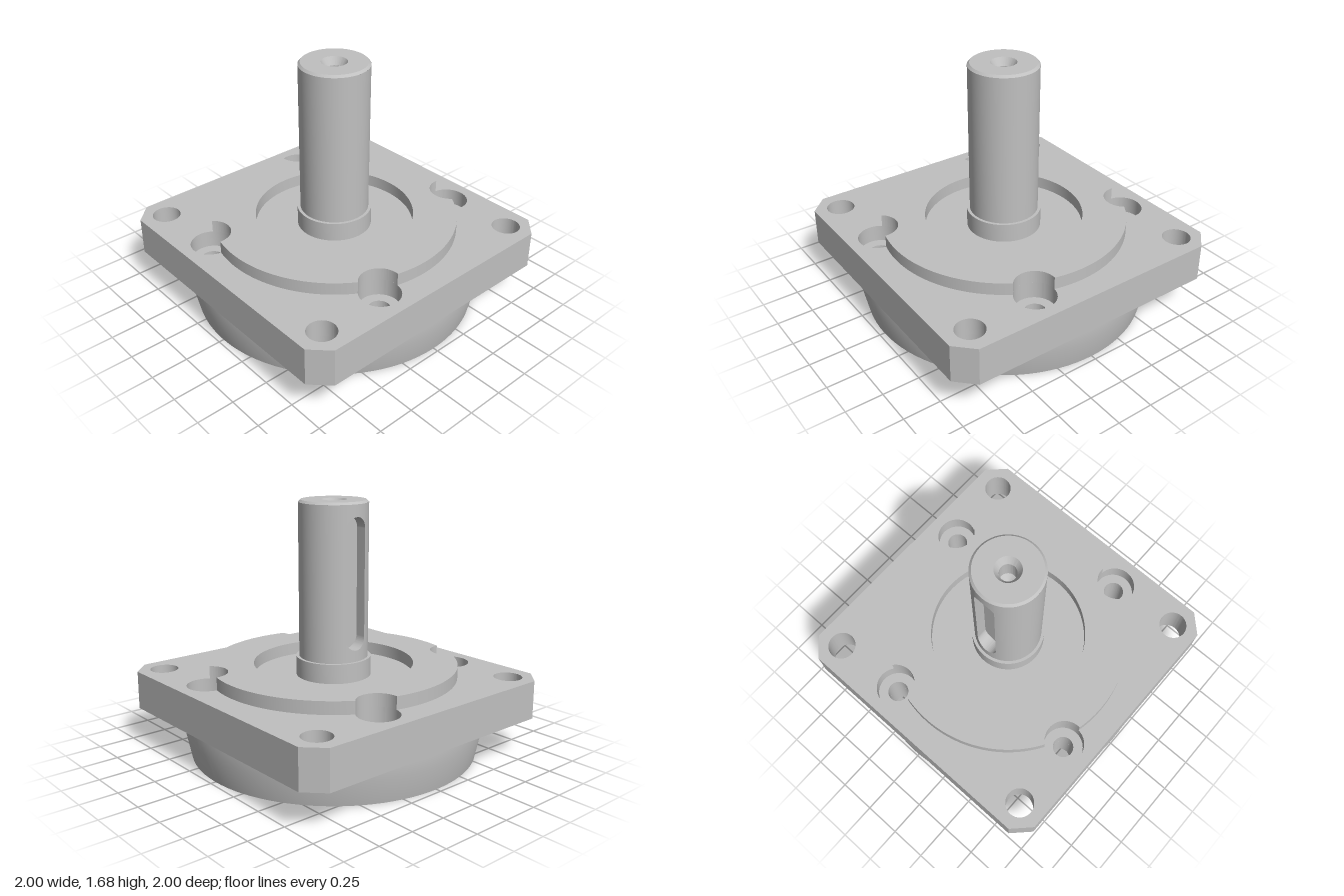
import * as THREE from 'three';
import { toCreasedNormals } from 'three/addons/utils/BufferGeometryUtils.js';
import { ParametricGeometry } from 'three/addons/geometries/ParametricGeometry.js';

const steel = new THREE.MeshStandardMaterial({ color: 0xc0c0c0, side: THREE.DoubleSide });
steel.name = 'steel grey';

const TAU = Math.PI * 2;
const BOLT_D = 0.857;           // bolt circle radius
const BOLT_R = 0.07;            // bolt hole
const BORE_R = 0.135;           // counterbore
const boltAngles = [0, 1, 2, 3].map(i => Math.atan2(0.79, 0.33) + i * Math.PI / 2);
const boltSpots = boltAngles.map(t => [BOLT_D * Math.cos(t), BOLT_D * Math.sin(t)]);
const cornerSpots = [[1, 1], [-1, 1], [-1, -1], [1, -1]].map(([x, y]) => [x * 0.825, y * 0.825]);

function punch(shape, spots, r) {
  for (const [x, y] of spots) shape.holes.push(new THREE.Path().absarc(x, y, r, 0, TAU, true));
  return shape;
}

// Horizontal slab of a plan shape (plan y points to -z)
function slab(shape, y0, y1) {
  const g = new THREE.ExtrudeGeometry(shape, { depth: y1 - y0, bevelEnabled: false, curveSegments: 40 });
  g.rotateX(-Math.PI / 2).translate(0, y0, 0);
  return toCreasedNormals(g, 0.4);
}

function turned(points, start = 0, length = TAU) {
  const profile = points.map(p => new THREE.Vector2(...p));
  return toCreasedNormals(new THREE.LatheGeometry(profile, 96, start, length), 0.25);
}

function plateShape() {
  const c = 0.88;
  return new THREE.Shape([[1, -c], [1, c], [c, 1], [-c, 1], [-1, c], [-1, -c], [-c, -1], [c, -1]]
    .map(p => new THREE.Vector2(...p)));
}

// Raised ring whose rim is notched by the counterbores
function pilotShape() {
  const R = 0.83;
  const a = Math.acos((BOLT_D ** 2 + R ** 2 - BORE_R ** 2) / (2 * BOLT_D * R));
  const phi = Math.atan2(R * Math.sin(a), R * Math.cos(a) - BOLT_D);
  const s = new THREE.Shape();
  boltAngles.forEach((t, i) => {
    const [x, y] = boltSpots[i];
    s.absarc(x, y, BORE_R, t - phi, t + phi, true);
    s.absarc(0, 0, R, t + a, t + Math.PI / 2 - a, false);
  });
  return punch(s, [[0, 0]], 0.535);
}

export function createModel() {
  const model = new THREE.Group();
  model.name = 'flangedShaftUnit';
  const add = (name, geometry, parent = model) => {
    const mesh = new THREE.Mesh(geometry, steel);
    mesh.name = name;
    parent.add(mesh);
    return mesh;
  };

  // Tapered round base: side wall, bottom face and hole walls
  const base = new THREE.Group();
  base.name = 'base';
  model.add(base);
  add('baseSide', turned([[0.965, 0], [1, 0.17], [1, 0.255]]), base);
  const bottom = punch(new THREE.Shape().absarc(0, 0, 0.965, 0, TAU), [...boltSpots, [0, 0]], BOLT_R);
  add('baseBottom', new THREE.ShapeGeometry(bottom, 48).rotateX(Math.PI / 2).scale(1, 1, -1), base);
  // restore the downward winding after the mirror
  const cap = base.getObjectByName('baseBottom').geometry;
  cap.index.array.reverse();
  cap.computeVertexNormals();
  for (const [x, y] of [...boltSpots, [0, 0]]) {
    const wall = add('baseHoleWall', new THREE.CylinderGeometry(BOLT_R, BOLT_R, 0.255, 40, 1, true), base);
    wall.position.set(x, 0.1275, -y);
  }

  // Square flange in two layers, so the counterbores have a floor
  const lower = punch(punch(plateShape(), cornerSpots, 0.095), boltSpots, BOLT_R);
  const upper = punch(punch(plateShape(), cornerSpots, 0.095), boltSpots, BORE_R);
  add('flangeLower', slab(lower, 0.255, 0.4));
  add('flangeUpper', slab(upper, 0.4, 0.515));
  add('pilotRing', slab(pilotShape(), 0.515, 0.6));

  // Shaft
  const shaft = new THREE.Group();
  shaft.name = 'shaft';
  model.add(shaft);
  const R = 0.23, w = 0.08, y0 = 0.645, y1 = 1.67;
  const keyLow = 0.8, keyHigh = 1.51, keyFloor = 0.14;
  const half = Math.asin(w / R);
  add('shaftCollar', turned([[0.25, 0.515], [0.25, y0], [0.22, y0]]), shaft);
  add('shaftBody', turned([[R, y0], [R, y1]], Math.PI + half, TAU - 2 * half), shaft);
  add('shaftTop', turned([[R, y1], [0.215, 1.685], [0.085, 1.685], [0.055, 1.635],
    [0.055, 1.5], [0, 1.46]]), shaft);

  // Shaft skin above and below the rounded keyway ends
  const skin = (end, limit, dir) => new ParametricGeometry((u, v, p) => {
    const x = -w * Math.cos(Math.PI * u);
    const edge = end + dir * w * Math.sin(Math.PI * u);
    p.set(x, edge + (limit - edge) * v, -Math.sqrt(R * R - x * x));
  }, 24, 2);
  for (const [name, g] of [['skinAboveKeyway', skin(keyHigh, y1, 1)], ['skinBelowKeyway', skin(keyLow, y0, -1)]]) {
    g.computeVertexNormals();
    add(name, g, shaft);
  }

  // Keyway floor and walls
  const slot = new THREE.Shape();
  slot.absarc(0, keyHigh, w, 0, Math.PI);
  slot.absarc(0, keyLow, w, Math.PI, TAU);
  slot.closePath();
  add('keywayFloor', new THREE.ShapeGeometry(slot, 24).rotateY(Math.PI).translate(0, 0, -keyFloor), shaft);
  const rim = slot.getPoints(24);
  const walls = new ParametricGeometry((u, v, p) => {
    const q = rim[Math.round(u * (rim.length - 1))];
    const outer = Math.sqrt(Math.max(R * R - q.x * q.x, 0));
    p.set(q.x, q.y, -(keyFloor + (outer - keyFloor) * v));
  }, rim.length - 1, 1);
  add('keywayWalls', toCreasedNormals(walls, 0.4), shaft);

  return model;
}
